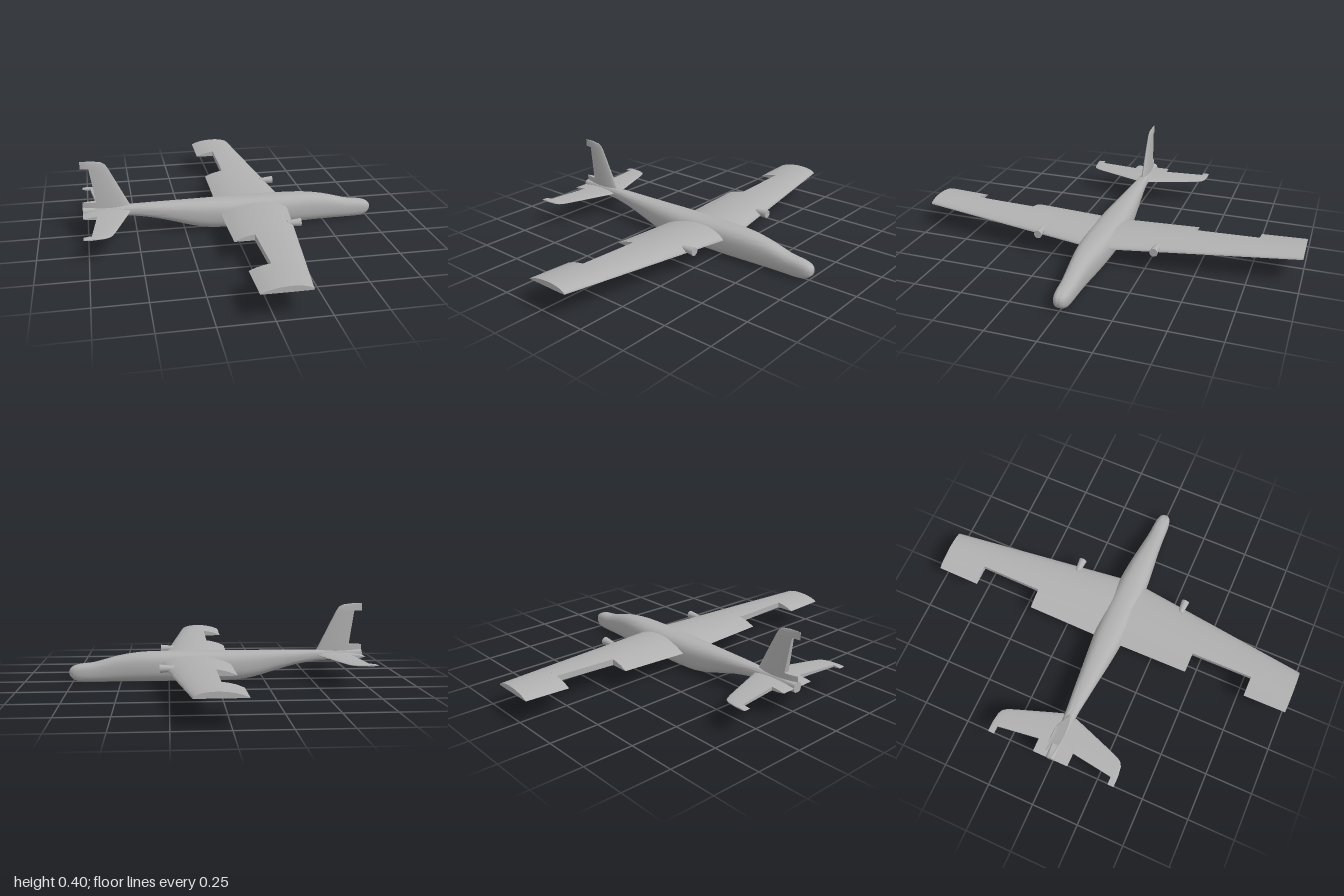
import * as THREE from 'three';
import { toCreasedNormals } from 'three/addons/utils/BufferGeometryUtils.js';

const grey = new THREE.MeshStandardMaterial({ color: 0xb0b0b0 });
grey.name = 'light grey';

// Closed skin through rings of [x, y, z] points, with fan caps at both ends
function loft(rings, crease) {
  const n = rings[0].length;
  const pts = rings.flat();
  const index = [];
  for (let r = 0; r < rings.length - 1; r++) {
    for (let i = 0; i < n; i++) {
      const a = r * n + i, b = r * n + (i + 1) % n;
      index.push(a, b, b + n, a, b + n, a + n);
    }
  }
  for (const r of [0, rings.length - 1]) {
    const mid = [0, 1, 2].map(k => rings[r].reduce((s, p) => s + p[k], 0) / n);
    const c = pts.push(mid) - 1;
    for (let i = 0; i < n; i++) {
      const a = r * n + i, b = r * n + (i + 1) % n;
      index.push(...(r === 0 ? [c, b, a] : [c, a, b]));
    }
  }
  // Turn the faces outward when the signed volume is negative
  let volume = 0;
  const v = i => new THREE.Vector3(...pts[i]);
  for (let i = 0; i < index.length; i += 3) {
    volume += v(index[i]).dot(v(index[i + 1]).cross(v(index[i + 2])));
  }
  if (volume < 0) index.reverse();
  const geo = new THREE.BufferGeometry();
  geo.setAttribute('position', new THREE.Float32BufferAttribute(pts.flat(), 3));
  geo.setIndex(index);
  return toCreasedNormals(geo, crease);
}

function add(parent, name, geo) {
  const mesh = new THREE.Mesh(geo, grey);
  mesh.name = name;
  parent.add(mesh);
  return mesh;
}

// One span panel. Stations: [span, leading x, trailing x, full-chord trailing x, thickness]
// place(x, h, span) maps a section point into the model; under is the lower bulge share
function panel(stations, under, place) {
  const K = 12;
  return loft(stations.map(([s, le, te, back, t]) => {
    const top = [], low = [];
    for (let i = 0; i <= K; i++) {
      const x = le + (te - le) * (1 - Math.cos(Math.PI * i / K / 2));
      const u = Math.min(1, Math.max(0, (le - x) / (le - back)));
      const h = 2.6 * u ** 0.6 * (1 - u) ** 0.8 * t + 0.001;
      top.push(place(x, h * (1 - under), s));
      low.unshift(place(x, -h * under, s));
    }
    return [...top, ...low];
  }), 0.6);
}

export function createModel() {
  const plane = new THREE.Group();
  plane.name = 'aircraft';

  // Fuselage: [x, bottom, top, half width], smoothed along its length
  const profile = [
    [-0.77, 0.105, 0.155, 0.024], [-0.53, 0.097, 0.155, 0.03],
    [-0.4, 0.075, 0.155, 0.043], [-0.3, 0.047, 0.155, 0.053],
    [-0.2, 0.018, 0.155, 0.064], [-0.12, 0.004, 0.155, 0.072],
    [-0.05, 0.001, 0.155, 0.078], [0.12, 0, 0.155, 0.08],
    [0.28, 0, 0.155, 0.077], [0.4, 0, 0.151, 0.067],
    [0.5, 0, 0.137, 0.055], [0.58, 0, 0.117, 0.047],
    [0.64, 0, 0.101, 0.043], [0.7, 0.001, 0.094, 0.04],
    [0.735, 0.007, 0.087, 0.035], [0.757, 0.021, 0.076, 0.026],
    [0.767, 0.035, 0.064, 0.014], [0.77, 0.046, 0.053, 0.003],
  ];
  const low = new THREE.CatmullRomCurve3(profile.map(p => new THREE.Vector3(p[0], p[1], 0)));
  const high = new THREE.CatmullRomCurve3(profile.map(p => new THREE.Vector3(p[0], p[2], p[3])));
  const steps = (profile.length - 1) * 3;
  const power = (c, e) => Math.sign(c) * Math.abs(c) ** e;
  const rings = [];
  for (let i = 0; i <= steps; i++) {
    const a = low.getPoint(i / steps), b = high.getPoint(i / steps);
    const bottom = Math.max(0, a.y), mid = (bottom + b.y) / 2, half = (b.y - bottom) / 2;
    rings.push(Array.from({ length: 36 }, (_, k) => {
      const t = k / 36 * Math.PI * 2;
      return [b.x, mid + half * power(Math.sin(t), 2 / 2.6), b.z * power(Math.cos(t), 2 / 2.6)];
    }));
  }
  add(plane, 'fuselage', loft(rings, 0.8));

  // Tail surfaces share the same stepped outline
  const BACK = -0.77;
  const tailPanels = (parent, name, sets, place) => sets.forEach((set, i) =>
    add(parent, name + ['Root', 'Middle', 'Tip'][i],
      panel(set.map(([s, le, te, t]) => [s, le, te, BACK, t]), 0.5, place)));

  for (const side of [1, -1]) {
    const label = side < 0 ? 'far' : 'near';

    // Main wing: flat underside, slight dihedral, a notch in the trailing edge
    const wing = new THREE.Group();
    wing.name = label + 'Wing';
    plane.add(wing);
    const station = (s, te) => [s, 0.3 - 0.14 * s, te, -0.07, 0.045 - 0.018 * s];
    const placeWing = (x, h, s) => [x, 0.093 + 0.039 * s + h, side * s];
    [['inner', 0, 0.45, -0.07], ['middle', 0.45, 0.775, 0.03], ['outer', 0.775, 1, -0.07]]
      .forEach(([name, s0, s1, te]) =>
        add(wing, name + 'WingPanel', panel([station(s0, te), station(s1, te)], 0.03, placeWing)));

    // Small tapered pod on the leading edge
    const pod = add(plane, label + 'WingPod', new THREE.CylinderGeometry(0.021, 0.014, 0.07, 24));
    pod.rotation.z = -Math.PI / 2;
    pod.position.set(0.26, 0.12, side * 0.305);

    // Horizontal stabilizer
    const stabilizer = new THREE.Group();
    stabilizer.name = label + 'Stabilizer';
    plane.add(stabilizer);
    tailPanels(stabilizer, 'stabilizer', [
      [[0, -0.52, BACK, 0.024], [0.095, -0.552, BACK, 0.021]],
      [[0.095, -0.552, -0.7, 0.021], [0.28, -0.617, -0.725, 0.014], [0.315, -0.632, -0.73, 0.012]],
      [[0.315, -0.632, BACK, 0.012], [0.332, -0.645, BACK, 0.01],
        [0.342, -0.665, BACK, 0.008], [0.348, -0.71, BACK, 0.005]],
    ], (x, h, s) => [x, 0.13 + h, side * s]);
  }

  // Vertical fin, thinning to the tip
  const fin = new THREE.Group();
  fin.name = 'fin';
  plane.add(fin);
  tailPanels(fin, 'fin', [
    [[0.13, -0.517, BACK, 0.038], [0.183, -0.544, BACK, 0.035]],
    [[0.183, -0.544, -0.7, 0.035], [0.3, -0.602, -0.718, 0.024], [0.362, -0.633, -0.728, 0.015]],
    [[0.362, -0.633, BACK, 0.015], [0.382, -0.646, BACK, 0.011],
      [0.394, -0.667, BACK, 0.007], [0.4, -0.71, BACK, 0.003]],
  ], (x, h, s) => [x, s, h]);

  return plane;
}
